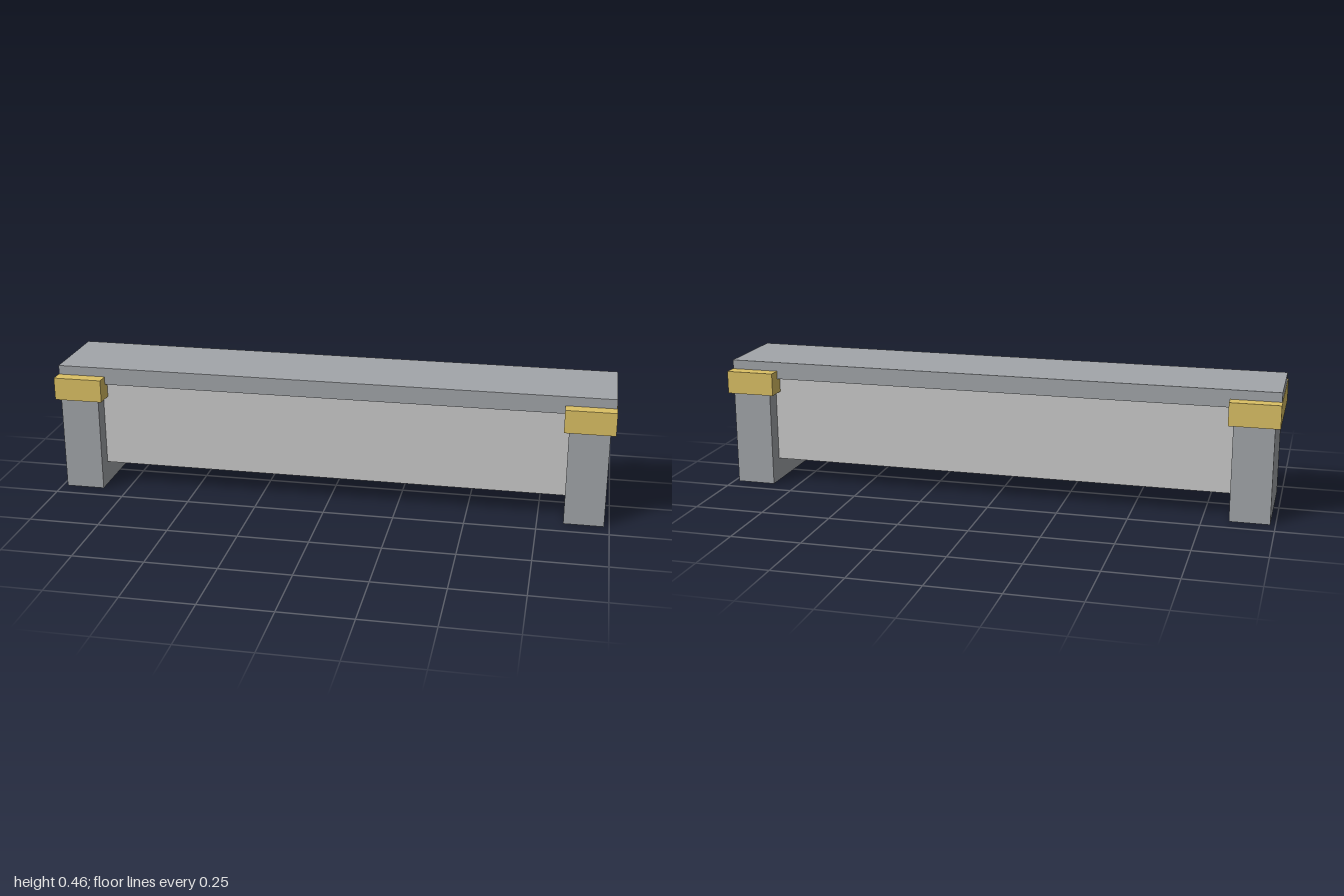
import * as THREE from 'three';

const stone = new THREE.MeshStandardMaterial({ color: 0xa3a6aa, flatShading: true });
const panel = new THREE.MeshStandardMaterial({ color: 0xcccccc, flatShading: true });
const gold = new THREE.MeshStandardMaterial({ color: 0xdcc165, flatShading: true });

// Box given by its x range, y range and full depth, centred on z = 0
function block(name, material, [x0, x1], [y0, y1], depth) {
  const mesh = new THREE.Mesh(new THREE.BoxGeometry(x1 - x0, y1 - y0, depth), material);
  mesh.position.set((x0 + x1) / 2, (y0 + y1) / 2, 0);
  mesh.name = name;
  return mesh;
}

export function createModel() {
  const model = new THREE.Group();
  model.name = 'bench';

  // Long seat slab and the recessed body below it
  model.add(block('seatSlab', stone, [-0.998, 0.998], [0.395, 0.457], 0.306));
  model.add(block('body', panel, [-0.845, 0.845], [0.083, 0.395], 0.26));

  // End posts with gold collars
  for (const [side, s] of [['left', 1], ['right', -1]]) {
    const span = (a, b) => (s > 0 ? [a, b] : [-b, -a]);
    model.add(block(side + 'Post', stone, span(0.842, 0.982), [0, 0.36], 0.374));
    model.add(block(side + 'Collar', gold, span(0.825, 1), [0.342, 0.424], 0.4));
  }
  return model;
}
